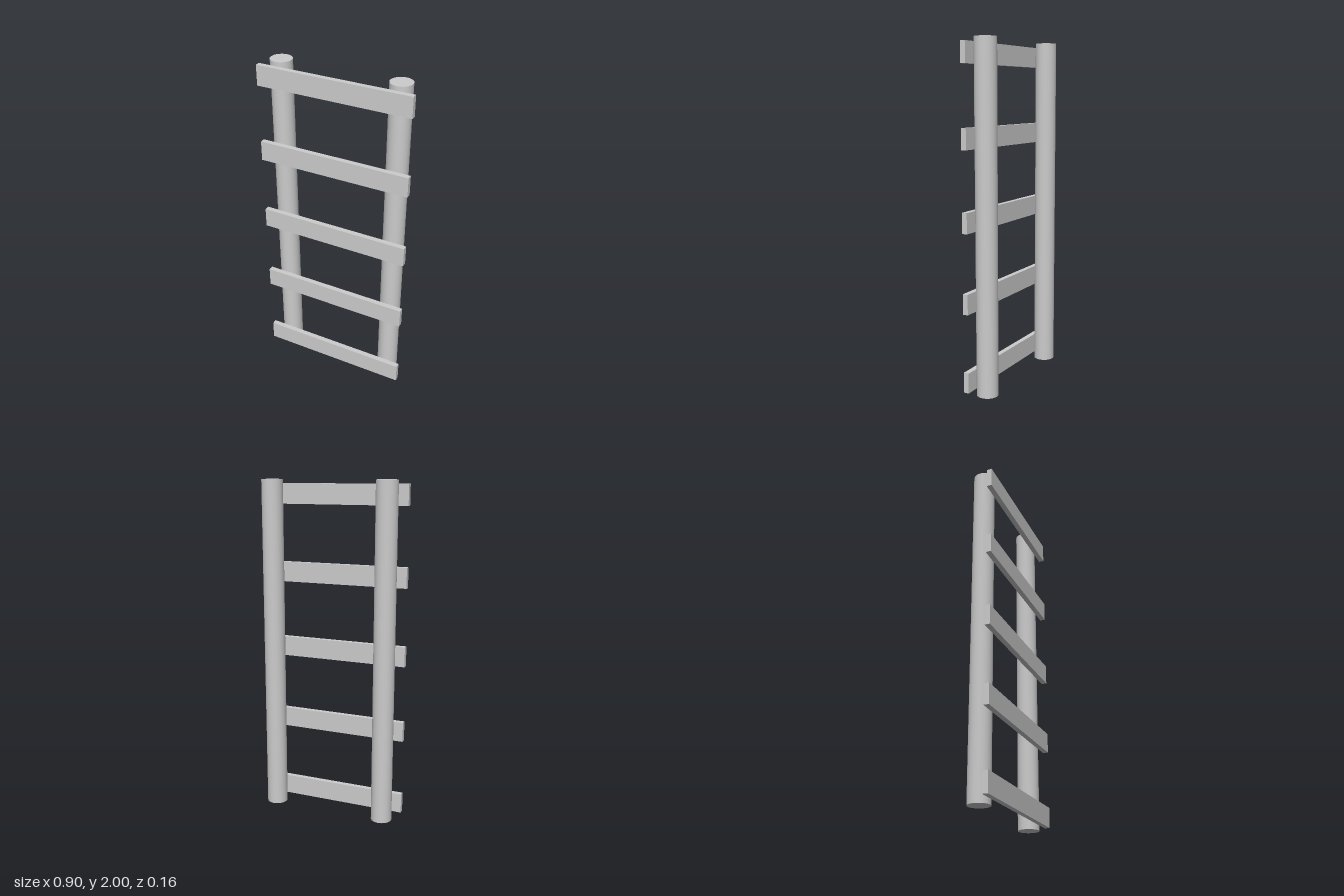
import * as THREE from 'three';

export function createModel() {
  const model = new THREE.Group();
  model.name = 'ladder';
  const material = new THREE.MeshStandardMaterial({ color: 0xcccccc });

  // Two round upright poles
  const radius = 0.0625;
  const poleGeometry = new THREE.CylinderGeometry(radius, radius, 2, 32);
  for (const side of [-1, 1]) {
    const pole = new THREE.Mesh(poleGeometry, material);
    pole.name = side > 0 ? 'leftPole' : 'rightPole';
    pole.position.set(side * 0.349, 1, -0.0155);
    model.add(pole);
  }

  // Five flat rungs fixed to the front of the poles
  const rungGeometry = new THREE.BoxGeometry(0.905, 0.118, 0.031);
  for (let i = 0; i < 5; i++) {
    const rung = new THREE.Mesh(rungGeometry, material);
    rung.name = `rung${i + 1}`;
    rung.position.set(0, 0.089 + i * 0.457, 0.062);
    model.add(rung);
  }

  return model;
}
